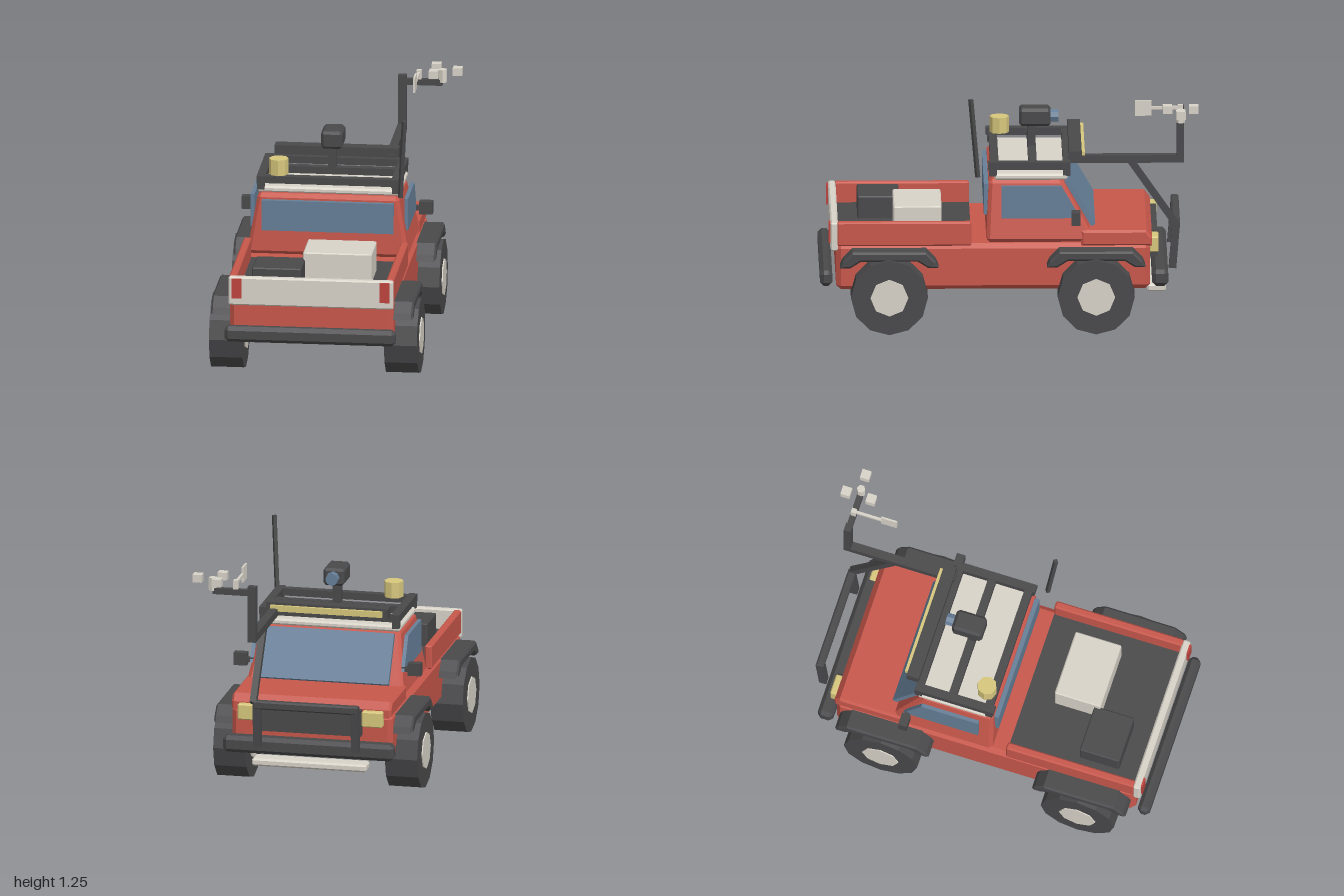
import * as THREE from 'three';
import { ConvexGeometry } from 'three/addons/geometries/ConvexGeometry.js';

const C = -0.022; // centre line of the truck
const paint = (color) => new THREE.MeshStandardMaterial({ color, flatShading: true });

export function createModel() {
  const model = new THREE.Group();
  const red = paint(0xc8574b), dark = paint(0x49494b), cream = paint(0xd8d3c8);
  const glass = paint(0x667f98), yellow = paint(0xd6c67c), lamp = paint(0xbd433d);

  function add(name, geometry, material, x = 0, y = 0, z = 0) {
    const mesh = new THREE.Mesh(geometry, material);
    mesh.name = name;
    mesh.position.set(x, y, z);
    model.add(mesh);
    return mesh;
  }

  // Box with cut edges; an optional rule reshapes its corners
  function chamferBox(w, h, d, c, rule) {
    const pts = [];
    for (const sx of [-1, 1]) for (const sy of [-1, 1]) for (const sz of [-1, 1]) {
      for (const [a, b, e] of [[0, c, c], [c, 0, c], [c, c, 0]]) {
        const p = new THREE.Vector3(sx * (w / 2 - a), sy * (h / 2 - b), sz * (d / 2 - e));
        if (rule) rule(p);
        pts.push(p);
      }
    }
    return new ConvexGeometry(pts);
  }

  // Box given by its limits along each axis
  function box(name, material, x0, x1, y0, y1, z0, z1, c = 0, rule) {
    const w = Math.abs(x1 - x0), h = y1 - y0, d = z1 - z0;
    const geometry = c ? chamferBox(w, h, d, c, rule) : new THREE.BoxGeometry(w, h, d);
    return add(name, geometry, material, (x0 + x1) / 2, (y0 + y1) / 2, (z0 + z1) / 2);
  }

  // Square bar between two points
  function bar(name, material, from, to, w, d = w) {
    const a = new THREE.Vector3(...from), b = new THREE.Vector3(...to);
    const mesh = add(name, new THREE.BoxGeometry(w, d, a.distanceTo(b)), material);
    mesh.position.copy(a).lerp(b, 0.5);
    mesh.lookAt(b);
    return mesh;
  }

  // Outline in z and y, extruded across x and centred on it
  function sidePanel(points, width, bevel = 0) {
    const shape = new THREE.Shape(points.map(([z, y]) => new THREE.Vector2(-z, y)));
    const geometry = new THREE.ExtrudeGeometry(shape, {
      depth: width, bevelEnabled: bevel > 0, bevelSize: bevel, bevelThickness: bevel,
      bevelOffset: -bevel, bevelSegments: 1,
    });
    return geometry.translate(0, 0, -width / 2).rotateY(Math.PI / 2);
  }

  // Body and hood
  box('lowerBody', red, C - 0.435, C + 0.435, 0.215, 0.465, -0.745, 0.915, 0.025);
  const hood = sidePanel([[-0.38, 0.45], [-0.755, 0.45], [-0.755, 0.495], [-0.725, 0.535], [-0.38, 0.535]], 0.84, 0.012);
  add('hood', hood, red, C);

  // Cab, narrowing upward with a raked front
  box('cab', red, C - 0.432, C + 0.432, 0.47, 0.8, -0.46, 0.122, 0.02, (p) => {
    const t = p.y / 0.33 + 0.5;
    p.x *= 1 - 0.135 * t;
    p.z += (p.z < 0 ? 0.18 : -0.015) * t;
  });
  box('rearWindow', glass, C - 0.35, C + 0.35, 0.605, 0.77, 0.1, 0.133);
  const windshield = add('windshield', new THREE.BoxGeometry(0.7, 0.28, 0.025), glass, C, 0.665, -0.375);
  windshield.rotation.x = Math.atan2(0.15, 0.26);
  const pane = sidePanel([[0.04, 0.6], [0.04, 0.775], [-0.275, 0.775], [-0.375, 0.6]], 0.02);
  box('roofPanel', cream, C - 0.38, C + 0.38, 0.798, 0.832, -0.31, 0.078, 0.01);

  // Load bed
  box('bedFloor', dark, C - 0.4, C + 0.4, 0.45, 0.475, 0.2, 0.91);
  box('tailgate', cream, C - 0.438, C + 0.438, 0.43, 0.585, 0.905, 0.945, 0.008);
  box('paleCrate', cream, -0.1, 0.265, 0.47, 0.632, 0.355, 0.61, 0.006);
  box('darkCrate', dark, -0.35, -0.09, 0.47, 0.595, 0.575, 0.795, 0.006);

  // Parts mirrored left and right
  const fender = sidePanel([[-0.26, 0.36], [-0.245, 0.395], [-0.195, 0.445], [0.195, 0.445],
    [0.245, 0.395], [0.26, 0.36], [0.205, 0.36], [0.15, 0.395], [-0.15, 0.395], [-0.205, 0.36]], 0.1, 0.01);
  const tire = new THREE.CylinderGeometry(0.2035, 0.2035, 0.175, 12).rotateZ(Math.PI / 2);
  const hub = new THREE.CylinderGeometry(0.1, 0.1, 0.19, 8).rotateZ(Math.PI / 2);
  for (const s of [-1, 1]) {
    const side = s > 0 ? 'left' : 'right';
    const X = (v) => C + s * v;
    add(side + 'Window', pane, glass, X(0.408));
    box(side + 'BedWall', red, X(0.397), X(0.437), 0.455, 0.585, 0.2, 0.91, 0.008);
    box(side + 'TailLight', lamp, X(0.367), X(0.42), 0.47, 0.578, 0.93, 0.955);
    box(side + 'Headlight', yellow, X(0.28), X(0.392), 0.405, 0.49, -0.79, -0.74, 0.006);
    box(side + 'Mirror', dark, X(0.436), X(0.507), 0.582, 0.65, -0.375, -0.328);
    box(side + 'MirrorArm', dark, X(0.4), X(0.44), 0.6, 0.625, -0.365, -0.34);
    for (const [end, z] of [['Rear', 0.635], ['Front', -0.458]]) {
      add(side + end + 'Tire', tire, dark, X(0.465), 0.2035, z);
      add(side + end + 'Hub', hub, cream, X(0.4635), 0.2035, z);
      add(side + end + 'Fender', fender, dark, X(0.477), 0, z);
    }
    // Roof rack side
    box(side + 'RackRail', dark, X(0.335), X(0.38), 0.855, 0.895, -0.325, 0.112);
    for (const z of [-0.305, 0.085])
      box(side + 'RackFoot', dark, X(0.34), X(0.378), 0.82, 0.86, z - 0.02, z + 0.02);
    // Bull bar upright
    bar(side + 'GuardUpright', dark, [X(0.265), 0.29, -0.865], [X(0.265), 0.54, -0.885], 0.04);
  }

  // Bumpers, grille, guard and skid plate
  box('rearBumper', dark, C - 0.455, C + 0.455, 0.24, 0.325, 0.935, 1, 0.02);
  box('frontBumper', dark, C - 0.462, C + 0.462, 0.235, 0.325, -0.84, -0.755, 0.02);
  box('grille', dark, C - 0.275, C + 0.275, 0.35, 0.495, -0.785, -0.74);
  box('guardTopBar', dark, C - 0.285, C + 0.285, 0.5, 0.545, -0.905, -0.862, 0.008);
  box('skidPlate', cream, -0.335, 0.285, 0.167, 0.208, -0.83, -0.73, 0.01);

  // Roof rack crossbars, light bar and beacon
  for (const z of [0.077, -0.125])
    box('rackCrossbar', dark, C - 0.38, C + 0.38, 0.855, 0.893, z - 0.022, z + 0.022);
  box('rackFrontBar', dark, C - 0.38, C + 0.38, 0.855, 0.893, -0.325, -0.285);
  box('lightBar', dark, -0.353, 0.306, 0.885, 0.942, -0.385, -0.318);
  box('lightBarLens', yellow, -0.325, 0.28, 0.898, 0.93, -0.402, -0.38);
  add('beacon', new THREE.CylinderGeometry(0.052, 0.052, 0.085, 8), yellow, -0.29, 0.936, 0.042);

  // Roof camera
  box('cameraPost', dark, -0.045, -0.001, 0.89, 1.01, -0.146, -0.102);
  box('cameraHead', dark, C - 0.057, C + 0.057, 1.005, 1.1, -0.225, -0.058, 0.014);
  add('cameraLens', new THREE.CylinderGeometry(0.034, 0.034, 0.05, 8).rotateX(Math.PI / 2), glass, C, 1.052, -0.242);

  // Whip antenna
  bar('antenna', dark, [0.369, 0.82, 0.166], [0.394, 1.25, 0.203], 0.02);

  // Instrument mast
  box('mastBoom', dark, 0.24, 0.285, 0.872, 0.913, -0.925, -0.31);
  box('mastUpright', dark, 0.24, 0.285, 0.872, 1.177, -0.925, -0.887);
  box('mastArm', dark, 0.24, 0.475, 1.125, 1.157, -0.922, -0.89);
  bar('mastBrace', dark, [0.262, 0.885, -0.64], [0.262, 0.53, -0.885], 0.035);

  // Wind vane
  box('vanePivot', cream, 0.338, 0.364, 1.157, 1.207, -0.918, -0.89);
  box('vaneStem', cream, 0.344, 0.358, 1.183, 1.199, -0.9, -0.74);
  box('vaneTail', cream, 0.346, 0.356, 1.148, 1.232, -0.752, -0.665);

  // Wind speed cups
  add('cupPost', new THREE.CylinderGeometry(0.023, 0.023, 0.07, 6), cream, 0.477, 1.178, -0.905);
  for (let i = 0; i < 3; i++) {
    const a = (i * Math.PI * 2) / 3;
    add('windCup', new THREE.BoxGeometry(0.05, 0.042, 0.05), cream,
      0.477 + 0.08 * Math.cos(a), 1.206, -0.905 + 0.08 * Math.sin(a));
  }
  return model;
}
